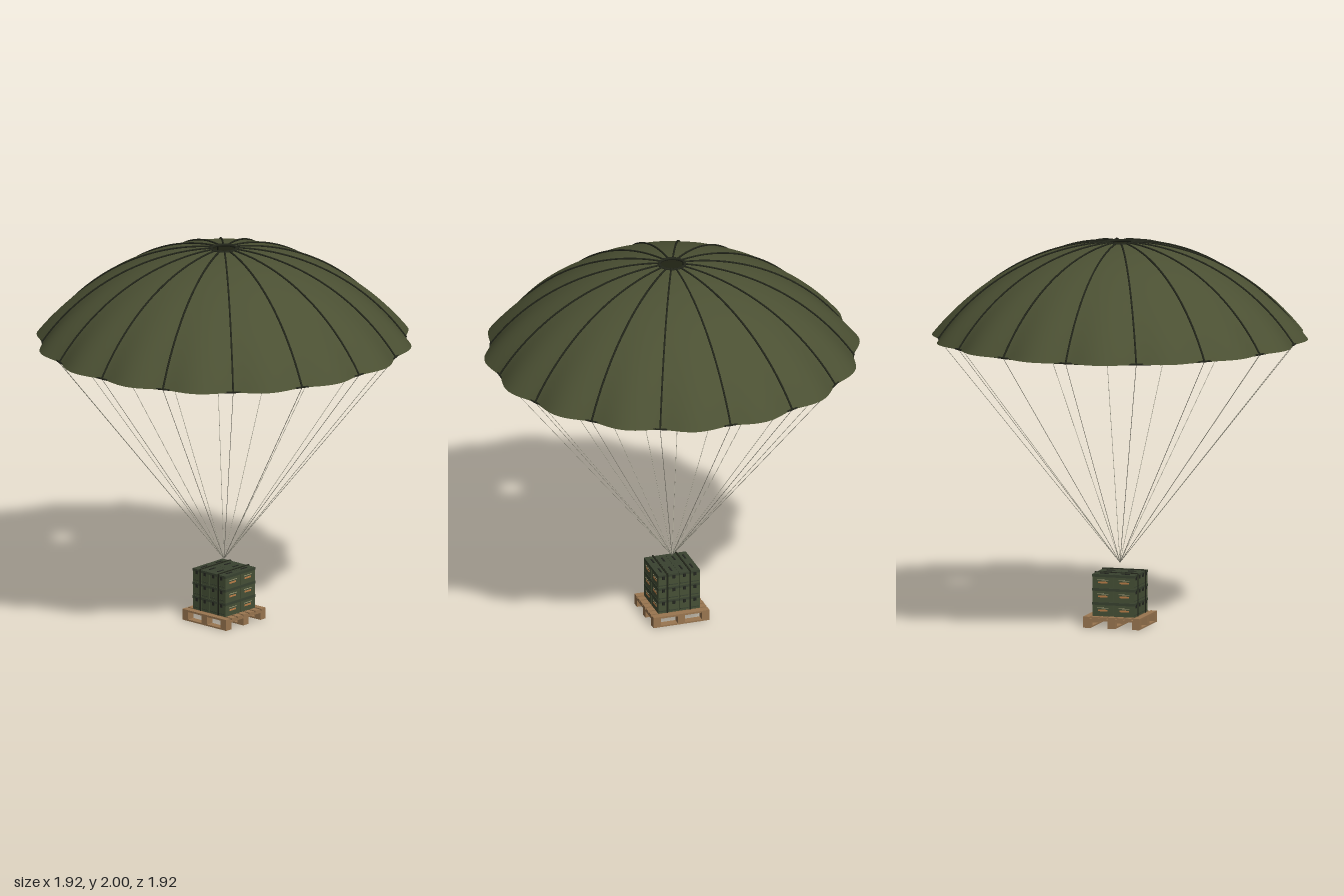
import * as THREE from 'three';

const mat = (name, color, side = THREE.FrontSide) => {
  const m = new THREE.MeshStandardMaterial({ color, side });
  m.name = name;
  return m;
};

export function createModel() {
  const model = new THREE.Group();
  model.name = 'cargoParachute';
  const canopyMat = mat('olive fabric', 0x4b5033, THREE.DoubleSide);
  const tapeMat = mat('dark webbing', 0x22251a);
  const cordMat = mat('pale cord', 0xa5a292);
  const crateMat = mat('crate green', 0x465036);
  const lidMat = mat('dark crate green', 0x394230);
  const metalMat = mat('dark metal', 0x23251f);
  const markMat = mat('orange marking', 0xbd7f48);
  const paleMat = mat('pale marking', 0xa8a27c);
  const woodMat = mat('pallet wood', 0x9a7650);

  const add = (parent, name, geo, material, x = 0, y = 0, z = 0) => {
    const mesh = new THREE.Mesh(geo, material);
    mesh.name = name;
    mesh.position.set(x, y, z);
    parent.add(mesh);
    return mesh;
  };
  const box = (parent, name, material, w, h, d, x, y, z) =>
    add(parent, name, new THREE.BoxGeometry(w, h, d), material, x, y, z);
  const group = (name) => {
    const g = new THREE.Group();
    g.name = name;
    model.add(g);
    return g;
  };

  // Canopy surface: a spherical cap whose gores bulge towards the rim
  const GORES = 16, R = 1.134, CENTRE = 0.861, PHI0 = 0.052, PHI1 = 0.972;
  const canopyPoint = (t, a, lift = 0) => {
    const phi = PHI0 + (PHI1 - PHI0) * t;
    const bulge = 1 + 0.039 * t * t * Math.abs(Math.sin(GORES * a / 2)) ** 1.6;
    const r = (R + lift) * Math.sin(phi) * bulge;
    return new THREE.Vector3(r * Math.sin(a), CENTRE + (R + lift) * Math.cos(phi), r * Math.cos(a));
  };
  const rows = 28, cols = GORES * 12, pos = [], idx = [];
  for (let i = 0; i <= rows; i++)
    for (let j = 0; j < cols; j++)
      pos.push(...canopyPoint(i / rows, (j / cols) * Math.PI * 2).toArray());
  for (let i = 0; i < rows; i++)
    for (let j = 0; j < cols; j++) {
      const k = (j + 1) % cols;
      const a = i * cols + j, b = i * cols + k, c = a + cols, d = b + cols;
      idx.push(a, c, b, b, c, d);
    }
  const cloth = new THREE.BufferGeometry();
  cloth.setAttribute('position', new THREE.Float32BufferAttribute(pos, 3));
  cloth.setIndex(idx);
  cloth.computeVertexNormals();
  const canopy = group('canopy');
  add(canopy, 'canopyCloth', cloth, canopyMat);

  // Vent ring and hem
  const ring = (name, r, tube, y) =>
    add(canopy, name, new THREE.TorusGeometry(r, tube, 8, 96), tapeMat, 0, y, 0).rotation.x = Math.PI / 2;
  ring('ventRing', 0.066, 0.008, 1.992);
  ring('hem', 0.936, 0.005, 1.502);

  // Seam tapes and suspension lines
  const lines = group('suspensionLines');
  const knot = new THREE.Vector3(0, 0.325, 0);
  for (let g = 0; g < GORES; g++) {
    const a = (g / GORES) * Math.PI * 2;
    const pts = [];
    for (let i = 0; i <= 12; i++) pts.push(canopyPoint(i / 12, a, 0.003));
    add(canopy, 'seamTape', new THREE.TubeGeometry(new THREE.CatmullRomCurve3(pts), 32, 0.005, 6), tapeMat);
    const cord = new THREE.LineCurve3(canopyPoint(1, a), knot);
    add(lines, 'suspensionLine', new THREE.TubeGeometry(cord, 1, 0.0015, 6), cordMat);
  }

  // Pallet: deck boards, stringers, nine blocks and bottom runners
  const pallet = group('pallet');
  for (let i = 0; i < 7; i++)
    box(pallet, 'deckBoard', woodMat, 0.304, 0.01, 0.034, 0, 0.053, -0.135 + i * 0.045);
  for (const x of [-0.132, 0, 0.132]) {
    box(pallet, 'stringer', woodMat, 0.04, 0.01, 0.304, x, 0.043, 0);
    box(pallet, 'bottomRunner', woodMat, 0.304, 0.008, 0.04, 0, 0.004, x);
    for (const z of [-0.132, 0, 0.132])
      box(pallet, 'block', woodMat, 0.04, 0.03, 0.04, x, 0.023, z);
  }

  // Storage boxes, four wide, two deep, three high
  const cargo = group('cargo');
  const W = 0.057, H = 0.073, D = 0.115, BASE = 0.058;
  for (let layer = 0; layer < 3; layer++)
    for (let col = 0; col < 4; col++)
      for (const s of [-1, 1]) {
        const crate = new THREE.Group();
        crate.name = 'crate';
        crate.position.set((col - 1.5) * W, BASE + layer * H, s * D / 2);
        cargo.add(crate);
        box(crate, 'crateBody', crateMat, W - 0.003, 0.058, D - 0.004, 0, 0.029, 0);
        box(crate, 'crateLid', lidMat, W - 0.001, 0.014, D - 0.001, 0, 0.065, 0);
        box(crate, 'carryHandle', metalMat, 0.008, 0.004, 0.045, 0, 0.073, 0);
        box(crate, 'latch', metalMat, 0.014, 0.018, 0.004, 0, 0.055, s * D / 2);
        box(crate, 'endRib', lidMat, W - 0.012, 0.005, 0.004, 0, 0.012, s * (D / 2 - 0.002));
        // Painted markings on the outer long sides
        if (col === 0 || col === 3) {
          const x = (col === 0 ? -1 : 1) * (W / 2 - 0.001);
          box(crate, 'orangeMarking', markMat, 0.002, 0.009, 0.05, x, 0.03, 0);
          box(crate, 'paleMarking', paleMat, 0.002, 0.003, 0.06, x, 0.043, 0);
        }
      }

  // Lashing straps over the stack
  const top = BASE + 3 * H + 0.003;
  for (const x of [-0.06, 0.066]) {
    box(cargo, 'strapTop', tapeMat, 0.008, 0.003, 0.234, x, top, 0);
    for (const s of [-1, 1])
      box(cargo, 'strapSide', tapeMat, 0.008, top - 0.055, 0.003, x, (top + 0.055) / 2, s * 0.1162);
  }
  return model;
}
